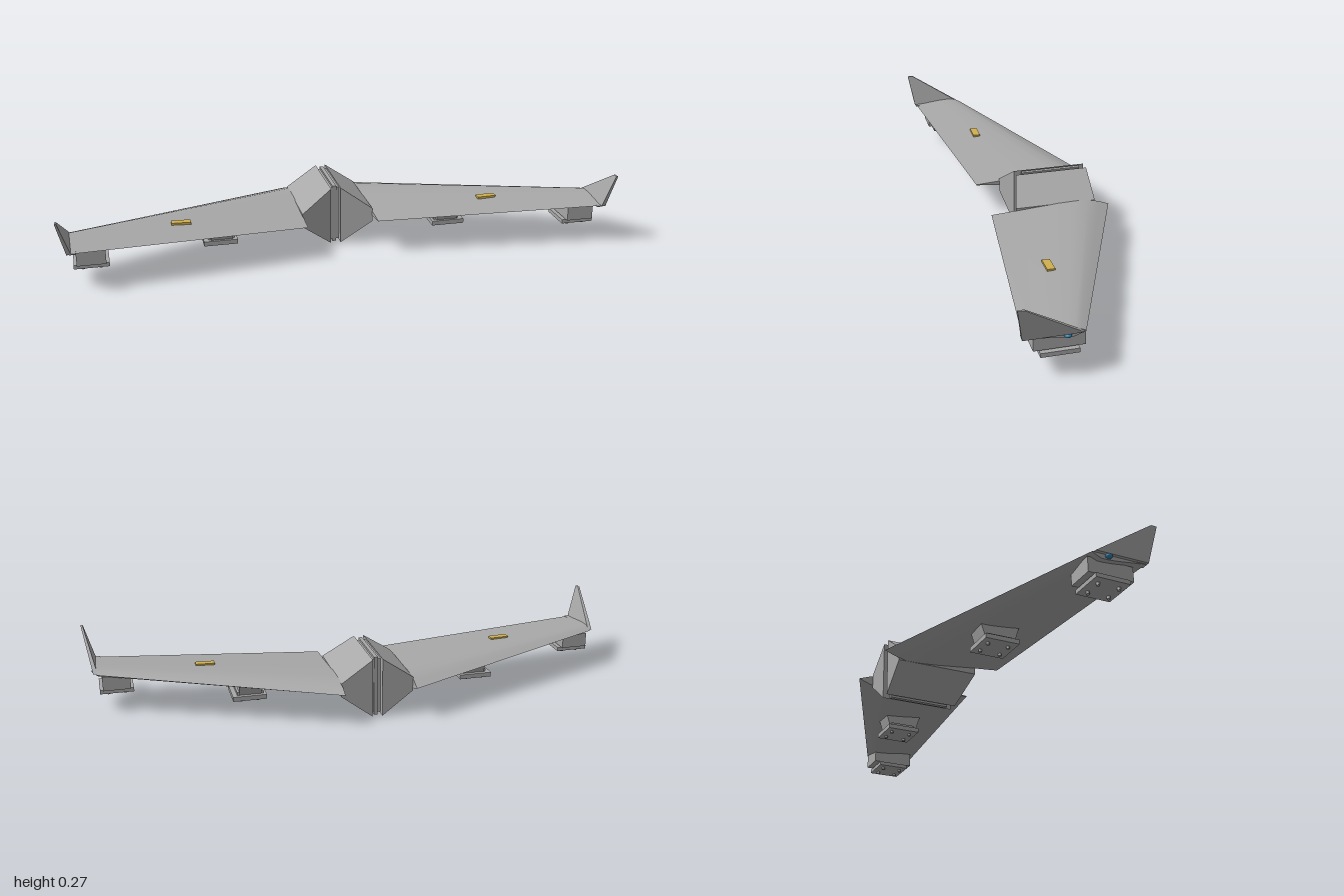
import * as THREE from 'three';
import { ConvexGeometry } from 'three/addons/geometries/ConvexGeometry.js';

const grey = new THREE.MeshStandardMaterial({ name: 'airframe grey', color: 0xa8a8a8 });
const yellow = new THREE.MeshStandardMaterial({ name: 'marker yellow', color: 0xd0b050 });
const blue = new THREE.MeshStandardMaterial({ name: 'lamp blue', color: 0x2f86b0 });

function add(parent, name, geometry, material = grey) {
  const mesh = new THREE.Mesh(geometry, material);
  mesh.name = name;
  parent.add(mesh);
  return mesh;
}

// box given by its limits on each axis
function box(parent, name, [x0, x1], [y0, y1], [z0, z1], material) {
  const mesh = add(parent, name, new THREE.BoxGeometry(x1 - x0, y1 - y0, z1 - z0), material);
  mesh.position.set((x0 + x1) / 2, (y0 + y1) / 2, (z0 + z1) / 2);
  return mesh;
}

function hull(parent, name, points) {
  return add(parent, name, new ConvexGeometry(points.map((p) => new THREE.Vector3(...p))));
}

// wing section: chord fraction, height above and below the chord line
const section = [[0, 0, 0], [0.09, 0.58, 0.55], [0.18, 1, 1], [0.3, 1, 1], [0.45, 0.88, 0.85],
  [0.6, 0.66, 0.62], [0.8, 0.33, 0.3], [1, 0.04, 0.04]];
const root = { x: 0.13, le: [0.117, -0.282], te: [0.124, 0.16], up: 0.024, down: 0.028 };
const tip = { x: 0.96, le: [0.146, 0.062], te: [0.147, 0.255], up: 0.013, down: 0.016 };

function sectionPoint(s, [f, u, d], upper) {
  const y = THREE.MathUtils.lerp(s.le[0], s.te[0], f) + (upper ? u * s.up : -d * s.down);
  return [s.x, y, THREE.MathUtils.lerp(s.le[1], s.te[1], f)];
}

function wingSkin(upper) {
  const pos = [], index = [];
  section.forEach((p, i) => {
    pos.push(...sectionPoint(root, p, upper), ...sectionPoint(tip, p, upper));
    if (!i) return;
    const a = 2 * i - 2, b = a + 1, c = a + 2, d = a + 3;
    index.push(...(upper ? [a, c, b, b, c, d] : [a, b, c, b, d, c]));
  });
  return finish(pos, index);
}

function wingCap(s, outward) {
  const pos = [], index = [];
  section.forEach((p, i) => {
    pos.push(...sectionPoint(s, p, true), ...sectionPoint(s, p, false));
    if (!i) return;
    const a = 2 * i - 2, b = a + 1, c = a + 2, d = a + 3;
    index.push(...(outward ? [a, c, b, b, c, d] : [a, b, c, b, d, c]));
  });
  return finish(pos, index);
}

function finish(pos, index) {
  const g = new THREE.BufferGeometry();
  g.setAttribute('position', new THREE.Float32BufferAttribute(pos, 3));
  g.setIndex(index);
  g.computeVertexNormals();
  return g;
}

// four small feet under a pod plate
function feet(parent, x, y, zs) {
  for (const dx of [-0.03, 0.03]) for (const z of zs) {
    add(parent, 'podFoot', new THREE.CylinderGeometry(0.006, 0.006, 0.012, 12))
      .position.set(x + dx, y, z);
  }
}

function createSide(name) {
  const side = new THREE.Group();
  side.name = name;

  // body half, tapering towards the wing root
  hull(side, 'bodyHalf', [-0.228, 0.04].flatMap((z) => [[0.018, 0.003, z], [0.018, 0.219, z]])
    .concat([-0.228, 0.07].flatMap((z) => [[0.132, 0.09, z], [0.132, 0.14, z]])));

  // wing
  add(side, 'wingTop', wingSkin(true));
  add(side, 'wingUnderside', wingSkin(false));
  add(side, 'wingTipCap', wingCap(tip, true));
  add(side, 'wingRootCap', wingCap(root, false));
  box(side, 'wingTrailingEdge', [0.94, 0.962], [0.145, 0.149], [0.22, 0.258]);

  // winglet leaning outwards
  hull(side, 'winglet', [
    [0.956, 0.147, 0.26], [0.971, 0.147, 0.26], [0.956, 0.147, 0.07], [0.971, 0.147, 0.07],
    [0.993, 0.268, 0.281], [1, 0.268, 0.281], [0.993, 0.268, 0.26], [1, 0.268, 0.26]]);

  // lamp on the wing tip
  const lamp = add(side, 'tipLamp', new THREE.SphereGeometry(0.012, 16, 10), blue);
  lamp.scale.y = 0.65;
  lamp.position.set(0.964, 0.141, 0.12);

  // marker plate lying on the wing
  const marker = box(side, 'wingMarker', [0.538, 0.607], [0.146, 0.155], [0.057, 0.084], yellow);
  marker.rotation.z = 0.025;

  // outer pod
  box(side, 'outerPod', [0.843, 0.942], [0.085, 0.138], [0.057, 0.22]);
  box(side, 'outerPodNeck', [0.85, 0.935], [0.078, 0.086], [0.085, 0.19]);
  box(side, 'outerPodPlate', [0.832, 0.953], [0.066, 0.081], [0.077, 0.2]);
  feet(side, 0.892, 0.062, [0.102, 0.177]);

  // inner pod, narrower at the bottom
  hull(side, 'innerPod', [0.388, 0.468].flatMap((x) => [
    [x, 0.125, 0.075], [x, 0.125, -0.075], [x, 0.064, 0.055], [x, 0.064, -0.055]]));
  box(side, 'innerPodRim', [0.38, 0.476], [0.06, 0.073], [-0.05, 0.043]);
  box(side, 'innerPodPlate', [0.37, 0.493], [0.045, 0.062], [-0.065, 0.06]);
  feet(side, 0.431, 0.042, [-0.042, 0.033]);
  return side;
}

export function createModel() {
  const model = new THREE.Group();
  model.name = 'flyingWing';
  const left = createSide('leftSide');
  const right = createSide('rightSide');
  right.scale.x = -1;
  model.add(left, right);

  // spine between the body halves
  box(model, 'spineCore', [-0.019, 0.019], [0.008, 0.212], [-0.2, 0.01]);
  box(model, 'spineRib', [-0.007, 0.007], [0, 0.22], [-0.205, 0.015]);
  return model;
}
